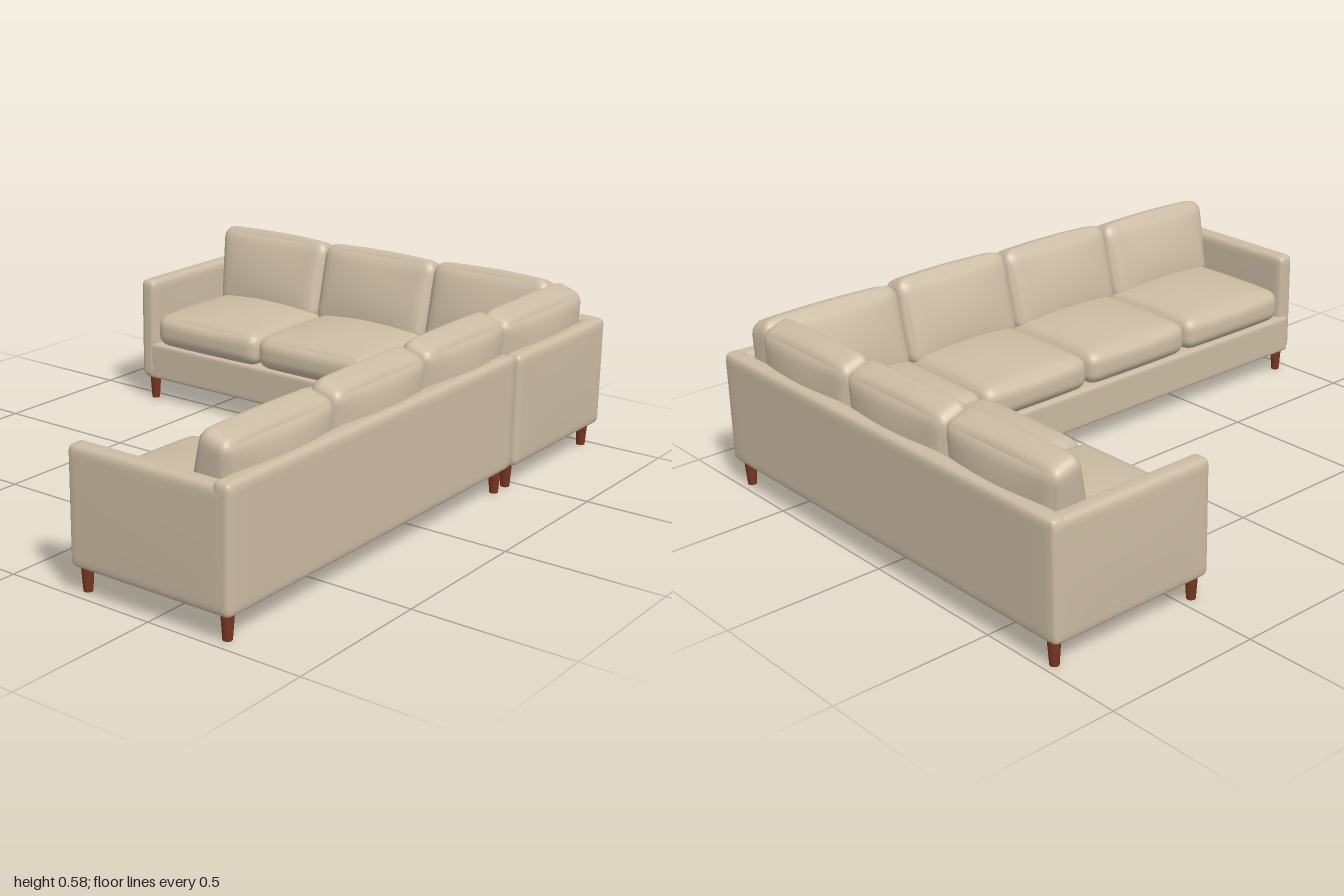
import * as THREE from 'three';
import { mergeVertices } from 'three/addons/utils/BufferGeometryUtils.js';

const fabric = new THREE.MeshStandardMaterial({ color: 0xcbbba3 });
fabric.name = 'beige upholstery';
const wood = new THREE.MeshStandardMaterial({ color: 0x7a3520 });
wood.name = 'reddish wood';

// Rounded box whose faces swell by puff = [x, y, z]; vertices crowd toward the edges
function softBox(w, h, d, r, puff = [0, 0, 0], warp = null) {
  let geo = new THREE.BoxGeometry(2, 2, 2, 20, 20, 20);
  geo.deleteAttribute('normal');
  geo.deleteAttribute('uv');
  geo = mergeVertices(geo);
  const half = new THREE.Vector3(w / 2, h / 2, d / 2);
  const core = half.clone().subScalar(r);
  const pos = geo.attributes.position;
  const u = new THREE.Vector3(), p = new THREE.Vector3(), q = new THREE.Vector3();
  const ease = (t) => Math.sin((t * Math.PI) / 2);
  for (let i = 0; i < pos.count; i++) {
    u.fromBufferAttribute(pos, i);
    u.set(ease(u.x), ease(u.y), ease(u.z));
    p.copy(u).multiply(half);
    q.copy(p).clamp(core.clone().negate(), core);
    p.sub(q).setLength(r).add(q);
    const fx = 1 - u.x * u.x, fy = 1 - u.y * u.y, fz = 1 - u.z * u.z;
    p.x += puff[0] * u.x * fy * fz;
    p.y += puff[1] * u.y * fx * fz;
    p.z += puff[2] * u.z * fx * fy;
    if (warp) warp(p);
    pos.setXYZ(i, p.x, p.y, p.z);
  }
  geo.computeVertexNormals();
  return geo;
}

function addMesh(parent, name, geo, material) {
  const mesh = new THREE.Mesh(geo, material);
  mesh.name = name;
  parent.add(mesh);
  return mesh;
}

// Soft box given by its extents along each axis
function addBlock(parent, name, [x0, x1], [y0, y1], [z0, z1], r, puff) {
  const mesh = addMesh(parent, name, softBox(x1 - x0, y1 - y0, z1 - z0, r, puff), fabric);
  mesh.position.set((x0 + x1) / 2, (y0 + y1) / 2, (z0 + z1) / 2);
}

// Leaning back cushion: local z is the distance from the outer face of the back panel
function backCushion(width, top, leanLeft, leanRight) {
  const h = top - 0.29, d = 0.16;
  return softBox(width, h, d, 0.04, [0.004, 0.008, 0.03], (p) => {
    const t = p.y / h + 0.5, s = p.z / d + 0.5;
    const rear = THREE.MathUtils.lerp(0.065, 0.045, t);
    const front = THREE.MathUtils.lerp(0.22, 0.15, t);
    p.z = THREE.MathUtils.lerp(rear, front, s);
    // the top slopes down toward the rear
    p.y += 0.29 + h / 2 - 0.035 * t * Math.max(0, 0.75 - s);
    // outer ends flare with height
    const e = p.x / width;
    p.x += (t - 0.5) * (leanRight * (0.5 + e) - leanLeft * (0.5 - e));
  });
}

function addLegs(parent, spots) {
  const geo = new THREE.CylinderGeometry(0.02, 0.014, 0.085, 12);
  for (const [x, z] of spots) {
    addMesh(parent, 'leg', geo, wood).position.set(x, 0.0425, z);
  }
}

export function createModel() {
  const model = new THREE.Group();
  model.name = 'cornerSofa';

  // Rear section
  const rear = new THREE.Group();
  rear.name = 'rearSection';
  model.add(rear);
  addBlock(rear, 'base', [-0.75, 0.765], [0.078, 0.21], [-0.98, -0.435], 0.012);
  addBlock(rear, 'backPanel', [-0.777, 0.777], [0.078, 0.447], [-1, -0.94], 0.022);
  addBlock(rear, 'arm', [-0.779, -0.717], [0.078, 0.443], [-0.998, -0.432], 0.022, [0.005, 0, 0]);
  addBlock(rear, 'sidePanel', [0.717, 0.777], [0.078, 0.445], [-0.998, -0.434], 0.022, [0.005, 0, 0]);
  for (const [x0, x1] of [[-0.707, -0.255], [-0.253, 0.199], [0.202, 0.71]]) {
    addBlock(rear, 'seatCushion', [x0, x1], [0.207, 0.322], [-0.92, -0.428], 0.042, [0, 0.025, 0.008]);
  }
  for (const [x0, x1, top, lean] of [[-0.717, -0.268, 0.57, 0.035], [-0.265, 0.188, 0.57, 0], [0.191, 0.63, 0.573, 0]]) {
    const cushion = addMesh(rear, 'backCushion', backCushion(x1 - x0, top, lean, 0), fabric);
    cushion.position.set((x0 + x1) / 2, 0, -1);
  }
  addLegs(rear, [[-0.735, -0.965], [0.73, -0.965], [-0.735, -0.46], [0.207, -0.46], [0.73, -0.46]]);

  // Long side section
  const side = new THREE.Group();
  side.name = 'sideSection';
  model.add(side);
  addBlock(side, 'base', [0.2, 0.75], [0.078, 0.21], [-0.425, 0.97], 0.012);
  addBlock(side, 'backPanel', [0.71, 0.772], [0.078, 0.45], [-0.424, 0.995], 0.022);
  addBlock(side, 'arm', [0.212, 0.77], [0.078, 0.437], [0.932, 0.995], 0.022, [0, 0, 0.003]);
  for (const [z0, z1] of [[-0.426, 0.006], [0.009, 0.452], [0.455, 0.922]]) {
    addBlock(side, 'seatCushion', [0.2, 0.69], [0.207, 0.322], [z0, z1], 0.042, [0.008, 0.025, 0]);
  }
  for (const [z0, z1, top, lean] of [[-0.932, -0.434, 0.563, 0], [-0.43, 0.012, 0.572, 0], [0.016, 0.463, 0.565, 0], [0.468, 0.935, 0.555, 0.025]]) {
    const cushion = addMesh(side, 'backCushion', backCushion(z1 - z0, top, 0, lean), fabric);
    cushion.rotation.y = -Math.PI / 2;
    cushion.position.set(0.775, 0, (z0 + z1) / 2);
  }
  addLegs(side, [[0.24, -0.39], [0.73, -0.39], [0.24, 0.95], [0.73, 0.95]]);

  return model;
}
